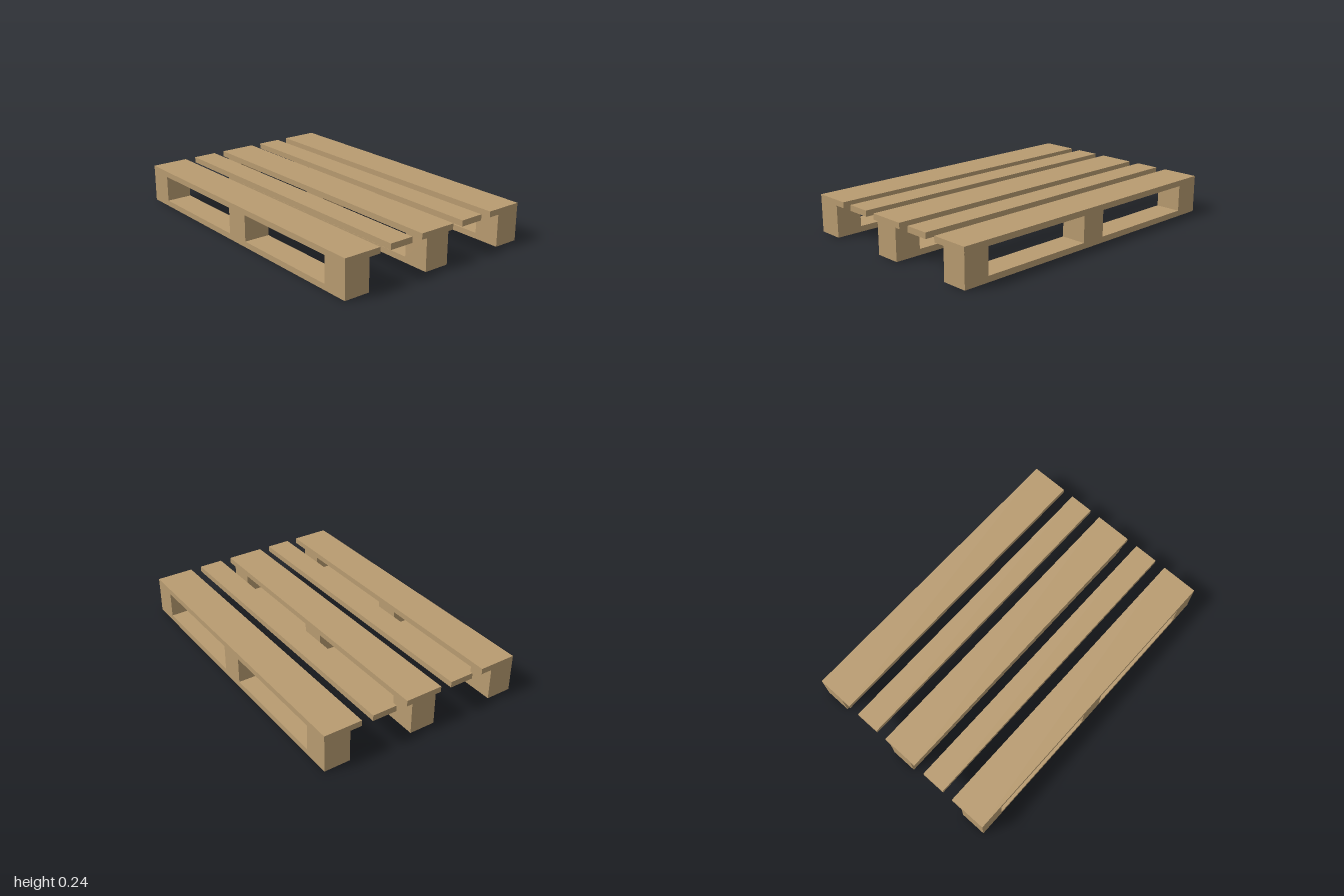
import * as THREE from 'three';

const HEIGHT = 0.24, BOARD = 0.037, LENGTH = 2;
const BLOCK = 0.166, ROW_Z = 0.583;

export function createModel() {
  const pallet = new THREE.Group();
  pallet.name = 'pallet';
  const wood = new THREE.MeshStandardMaterial({ color: 0xb89b70 });
  wood.name = 'bare wood';

  function plank(name, w, h, d, x, y, z) {
    const mesh = new THREE.Mesh(new THREE.BoxGeometry(w, h, d), wood);
    mesh.name = name;
    mesh.position.set(x, y, z);
    pallet.add(mesh);
  }

  // Deck: wide boards over the three rows, narrower slats between them
  const deckY = HEIGHT - BOARD / 2;
  for (const side of [-1, 0, 1]) {
    plank('deckBoard', LENGTH, BOARD, 0.241, 0, deckY, side * 0.546);
  }
  for (const side of [-1, 1]) {
    plank('deckSlat', LENGTH, BOARD, 0.157, 0, deckY, side * 0.273);
  }

  // Three skids, each a bottom runner carrying three blocks
  const blockHeight = HEIGHT - 2 * BOARD;
  for (const row of [-1, 0, 1]) {
    plank('bottomRunner', LENGTH, BOARD, BLOCK, 0, BOARD / 2, row * ROW_Z);
    for (const column of [-1, 0, 1]) {
      plank('spacerBlock', BLOCK, blockHeight, BLOCK,
        column * (LENGTH - BLOCK) / 2, HEIGHT / 2, row * ROW_Z);
    }
  }
  return pallet;
}
